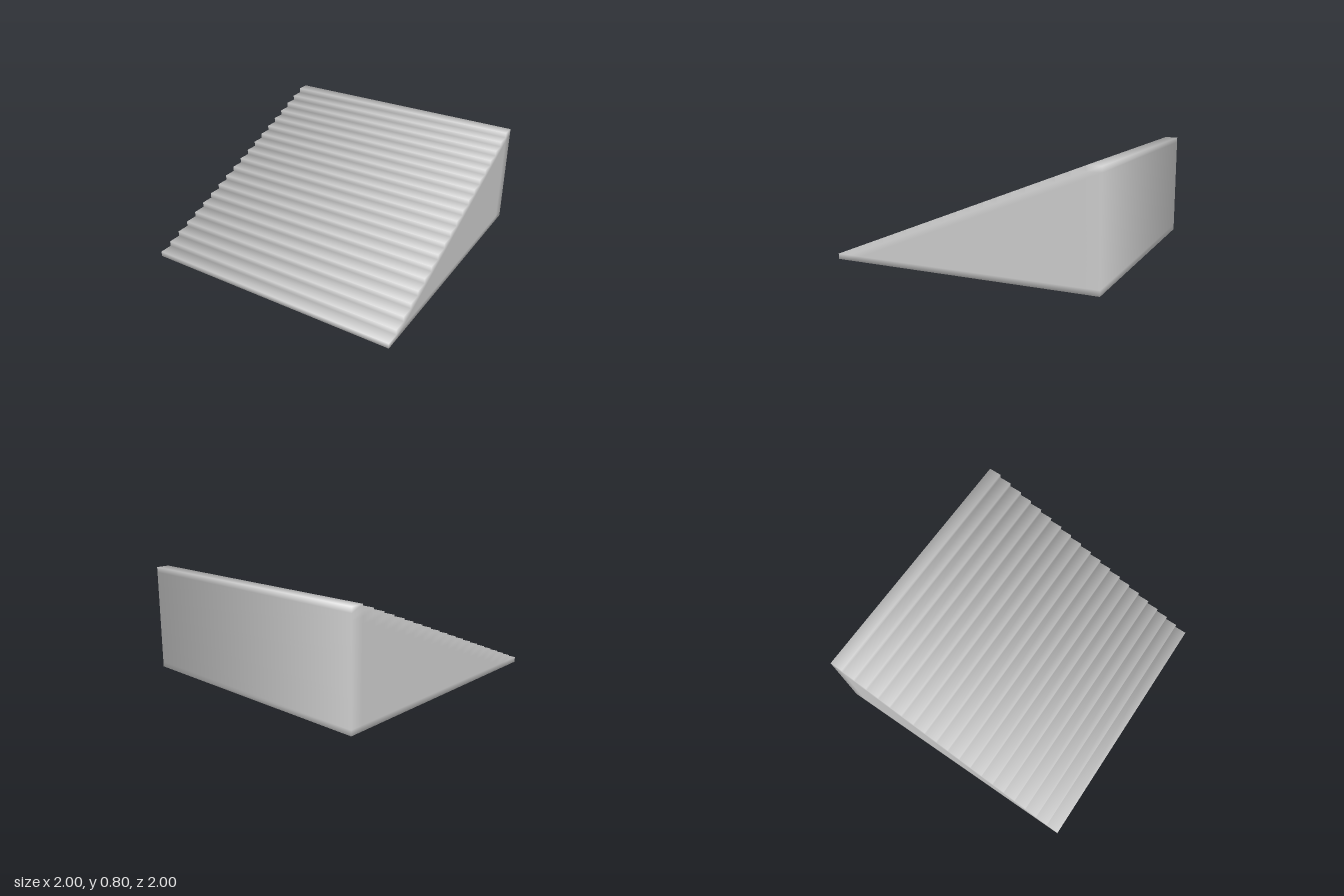
import * as THREE from 'three';

const STEPS = 20, RUN = 0.1, RISE = 0.04, HALF = 1;

// Collects quads, sharing corners so that the normals are smooth
function quadBuilder() {
  const points = [], normals = [], index = [], lookup = new Map();
  const corner = (p, n) => {
    const key = p.toArray().map(v => Math.round(v * 1000)).join();
    if (!lookup.has(key)) {
      lookup.set(key, points.length);
      points.push(p);
      normals.push(new THREE.Vector3());
    }
    const i = lookup.get(key);
    normals[i].add(n);
    return i;
  };
  return {
    // a quad from a corner and two edges; it faces u x v
    add(origin, u, v) {
      const o = new THREE.Vector3(...origin);
      const U = new THREE.Vector3(...u), V = new THREE.Vector3(...v);
      const n = U.clone().cross(V).normalize();
      const [a, b, c, d] = [o, o.clone().add(U), o.clone().add(U).add(V), o.clone().add(V)].map(p => corner(p, n));
      index.push(a, b, c, a, c, d);
    },
    build() {
      const g = new THREE.BufferGeometry().setFromPoints(points);
      const flat = normals.flatMap(n => n.normalize().toArray());
      g.setAttribute('normal', new THREE.Float32BufferAttribute(flat, 3));
      g.setIndex(index);
      return g;
    },
  };
}

export function createModel() {
  const group = new THREE.Group();
  group.name = 'staircase';
  const stone = new THREE.MeshStandardMaterial({ color: 0xcccccc });
  stone.name = 'light grey';

  const quads = quadBuilder();
  const across = [2 * HALF, 0, 0];
  for (let i = 0; i < STEPS; i++) {
    const front = HALF - i * RUN, back = front - RUN;
    const low = i * RISE, high = low + RISE;
    // riser, tread, underside strip and back wall strip
    quads.add([-HALF, low, front], across, [0, RISE, 0]);
    quads.add([-HALF, high, front], across, [0, 0, -RUN]);
    quads.add([-HALF, 0, back], across, [0, 0, RUN]);
    quads.add([HALF, low, -HALF], [-2 * HALF, 0, 0], [0, RISE, 0]);
    // both side walls, one cell per step height
    for (let j = 0; j <= i; j++) {
      quads.add([HALF, j * RISE, front], [0, 0, -RUN], [0, RISE, 0]);
      quads.add([-HALF, j * RISE, back], [0, 0, RUN], [0, RISE, 0]);
    }
  }

  const stairs = new THREE.Mesh(quads.build(), stone);
  stairs.name = 'steps';
  group.add(stairs);
  return group;
}
